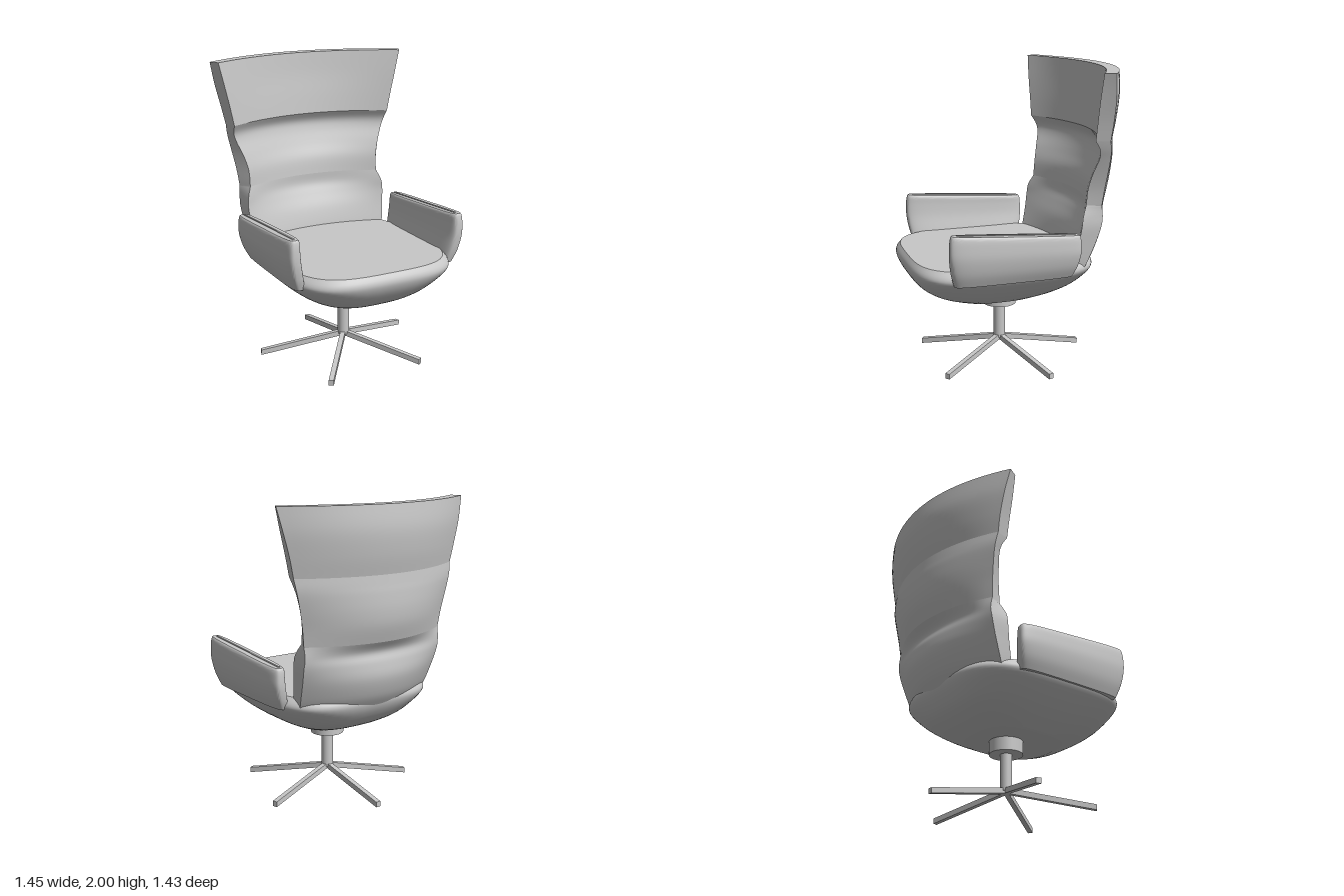
import * as THREE from 'three';
import { toCreasedNormals } from 'three/addons/utils/BufferGeometryUtils.js';

// Catmull-Rom interpolation of rows of numbers
function smoothRows(rows, steps) {
  const out = [], last = rows.length - 1;
  for (let i = 0; i < last; i++) {
    const a = rows[Math.max(i - 1, 0)], b = rows[i], c = rows[i + 1], d = rows[Math.min(i + 2, last)];
    for (let s = 0; s < steps; s++) {
      const t = s / steps;
      out.push(b.map((v, k) => {
        const cubic = 3 * (v - c[k]) + d[k] - a[k];
        const square = 2 * a[k] - 5 * v + 4 * c[k] - d[k];
        return v + 0.5 * t * (c[k] - a[k] + t * (square + t * cubic));
      }));
    }
  }
  out.push(rows[last]);
  return out;
}

// Skin over equal-length rings from bottom to top, with strip caps
function loft(rings, crease, capBottom = true, capTop = true) {
  const n = rings[0].length, pos = rings.flat(2), idx = [];
  for (let r = 0; r < rings.length - 1; r++) {
    for (let j = 0; j < n; j++) {
      const a = r * n + j, b = r * n + (j + 1) % n;
      idx.push(a, a + n, b, b, a + n, b + n);
    }
  }
  const top = (rings.length - 1) * n;
  for (let i = 0; i < n / 2 - 1; i++) {
    const p = i, q = i + 1, u = n - 2 - i, v = n - 1 - i;
    if (capBottom) idx.push(p, q, u, p, u, v);
    if (capTop) idx.push(top + q, top + p, top + u, top + u, top + p, top + v);
  }
  const g = new THREE.BufferGeometry();
  g.setAttribute('position', new THREE.Float32BufferAttribute(pos, 3));
  g.setIndex(idx);
  return toCreasedNormals(g, crease);
}

// Rounded rectangle ring; height(z) gives y
function roundedRing(x0, x1, z0, z1, power, height, n = 64) {
  const ring = [], bend = v => Math.sign(v) * Math.abs(v) ** (2 / power);
  for (let i = 0; i < n; i++) {
    const t = (i + 0.5) / n * Math.PI * 2;
    const x = (x0 + x1) / 2 + (x1 - x0) / 2 * bend(Math.cos(t));
    const z = (z0 + z1) / 2 + (z1 - z0) / 2 * bend(Math.sin(t));
    ring.push([x, height(z), z]);
  }
  return ring;
}

// Crescent ring for the backrest: front arc, then back arc
function crescentRing([y, xf, zfEnd, zfMid, xb, zbEnd, zbMid], n = 28) {
  const arc = (w, end, mid, dir) => Array.from({ length: n + 1 }, (_, i) => {
    const u = dir * (1 - 2 * i / n);
    return [u * w, y, end + (mid - end) * (1 - u * u)];
  });
  return [...arc(xf, zfEnd, zfMid, 1), ...arc(xb, zbEnd, zbMid, -1)];
}

export function createModel() {
  const model = new THREE.Group();
  model.name = 'swivelArmchair';
  const grey = new THREE.MeshStandardMaterial({ color: 0xc8c8c8 });
  grey.name = 'light grey';
  const add = (name, geometry, parent = model) => {
    const mesh = new THREE.Mesh(geometry, grey);
    mesh.name = name;
    parent.add(mesh);
    return mesh;
  };

  // Seat shell: y, half width, back z, front z, corner power
  const seatRows = smoothRows([
    [0.46, 0.26, -0.20, 0.40, 2.8],
    [0.51, 0.36, -0.33, 0.53, 2.9],
    [0.57, 0.45, -0.43, 0.62, 3.1],
    [0.64, 0.53, -0.49, 0.68, 3.3],
    [0.70, 0.58, -0.52, 0.71, 3.5],
    [0.74, 0.58, -0.52, 0.71, 3.5],
    [0.78, 0.545, -0.49, 0.685, 3.5],
  ], 4);
  const seatRings = seatRows.map(([y, w, zb, zf, power]) => roundedRing(-w, w, zb, zf, power, () => y));
  add('seat', loft(seatRings, 0.7));

  // Backrest cushions: y, front (half width, end z, middle z), back (same)
  const lumbar = [
    [0.70, 0.49, -0.29, -0.40, 0.50, -0.365, -0.52],
    [0.78, 0.505, -0.305, -0.405, 0.515, -0.40, -0.57],
    [0.90, 0.52, -0.33, -0.435, 0.53, -0.445, -0.61],
    [1.00, 0.53, -0.345, -0.48, 0.54, -0.475, -0.605],
    [1.07, 0.525, -0.355, -0.51, 0.537, -0.485, -0.59],
    [1.14, 0.497, -0.385, -0.51, 0.54, -0.475, -0.635],
  ];
  const middle = [
    lumbar[5],
    [1.25, 0.50, -0.395, -0.525, 0.555, -0.485, -0.67],
    [1.35, 0.525, -0.415, -0.565, 0.575, -0.495, -0.683],
    [1.45, 0.565, -0.44, -0.60, 0.597, -0.502, -0.682],
    [1.51, 0.585, -0.435, -0.605, 0.61, -0.50, -0.677],
    [1.57, 0.593, -0.40, -0.57, 0.62, -0.49, -0.672],
  ];
  const head = [
    middle[5],
    [1.70, 0.62, -0.40, -0.583, 0.65, -0.495, -0.70],
    [1.85, 0.655, -0.40, -0.60, 0.69, -0.49, -0.715],
    [2.00, 0.69, -0.405, -0.61, 0.725, -0.47, -0.70],
  ];
  const backrest = new THREE.Group();
  backrest.name = 'backrest';
  model.add(backrest);
  [['lumbarCushion', lumbar], ['middleCushion', middle], ['headCushion', head]].forEach(([name, rows], i) => {
    const rings = smoothRows(rows, 5).map(row => crescentRing(row));
    add(name, loft(rings, 0.7, i === 0, i === 2), backrest);
  });

  // Armrests: t (0 bottom, 1 sloping top), inner x, outer x, back z, front z
  const armRows = smoothRows([
    [0.00, 0.50, 0.595, -0.27, 0.51],
    [0.25, 0.515, 0.63, -0.295, 0.535],
    [0.55, 0.535, 0.65, -0.31, 0.55],
    [0.80, 0.543, 0.65, -0.31, 0.55],
    [0.95, 0.545, 0.645, -0.305, 0.543],
    [1.00, 0.555, 0.635, -0.295, 0.535],
  ], 4);
  const topY = z => 1.002 + 0.071 * z;
  for (const side of [1, -1]) {
    const arm = new THREE.Group();
    arm.name = side > 0 ? 'leftArmrest' : 'rightArmrest';
    model.add(arm);
    const rings = armRows.map(([t, inner, outer, z0, z1]) => {
      const [x0, x1] = side > 0 ? [inner, outer] : [-outer, -inner];
      return roundedRing(x0, x1, z0, z1, 4, z => 0.70 + (topY(z) - 0.70) * t);
    });
    add('armPad', loft(rings, 0.7), arm);
    // Thin seam along the top
    const seam = add('armSeam', new THREE.BoxGeometry(0.012, 0.008, 0.78), arm);
    seam.position.set(side * 0.592, topY(0.115) + 0.001, 0.115);
    seam.rotation.x = -Math.atan(0.071);
  }

  // Swivel column
  const base = new THREE.Group();
  base.name = 'base';
  base.position.z = 0.04;
  model.add(base);
  add('swivelHub', new THREE.CylinderGeometry(0.113, 0.113, 0.09, 40), base).position.y = 0.415;
  add('column', new THREE.CylinderGeometry(0.04, 0.04, 0.26, 32), base).position.y = 0.25;

  // Five sloping legs, one straight to the back
  for (let i = 0; i < 5; i++) {
    const g = new THREE.BoxGeometry(0.034, 0.036, 0.58).translate(0, 0.018, -0.29);
    const p = g.attributes.position;
    for (let k = 0; k < p.count; k++) p.setY(k, p.getY(k) + 0.108 * (1 + p.getZ(k) / 0.58));
    g.computeVertexNormals();
    add('leg', g, base).rotation.y = i * Math.PI * 2 / 5;
  }
  return model;
}
